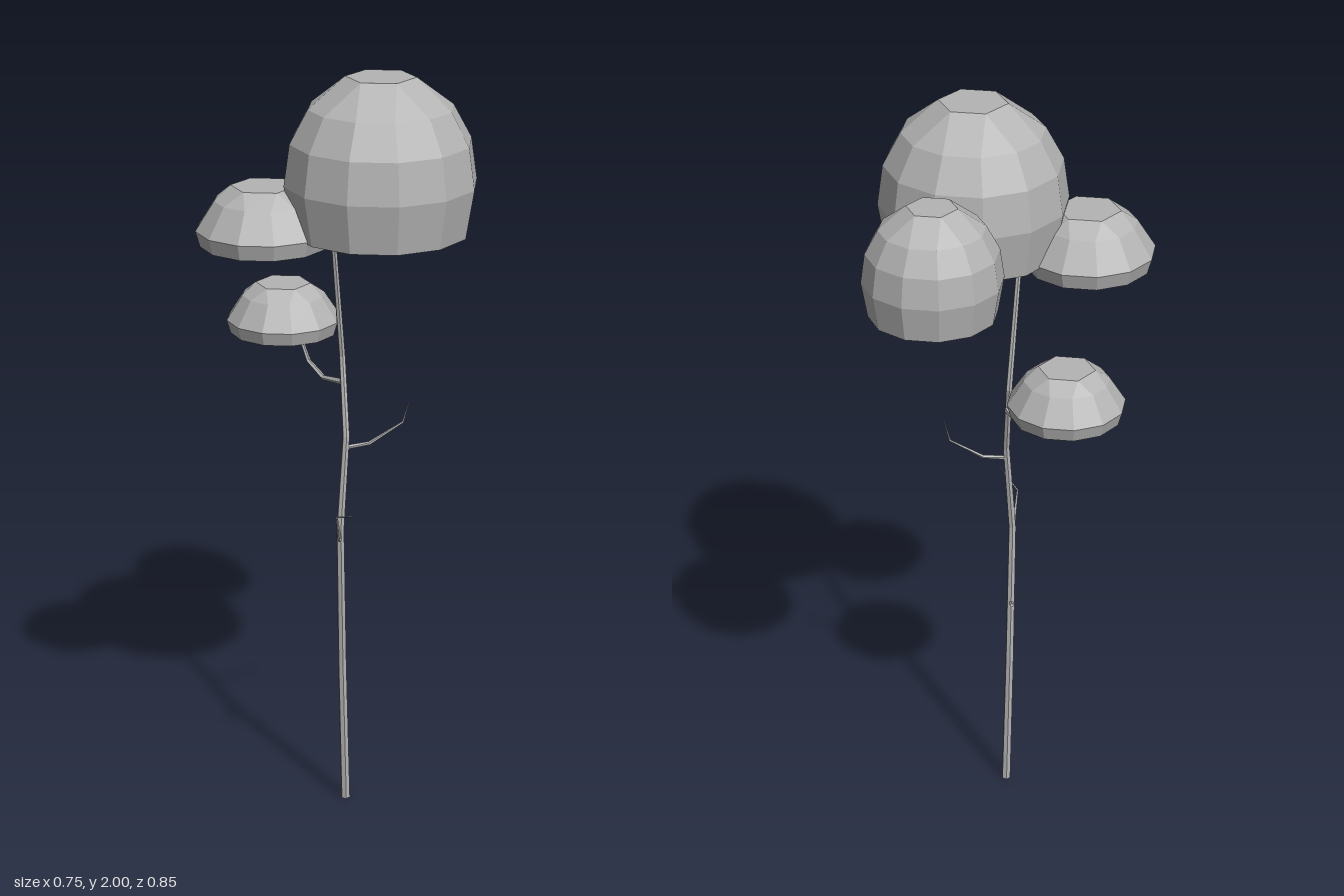
import * as THREE from 'three';

const V = (x, y, z) => new THREE.Vector3(x, y, z);

// Closed faceted solid from rings running counter-clockwise about the path
function loft(rings) {
  const pos = [];
  const tri = (a, b, c) => {
    const area = b.clone().sub(a).cross(c.clone().sub(a)).length();
    if (area > 1e-9) pos.push(...a.toArray(), ...b.toArray(), ...c.toArray());
  };
  const n = rings[0].length;
  for (let r = 0; r < rings.length - 1; r++) {
    const lo = rings[r], hi = rings[r + 1];
    for (let i = 0; i < n; i++) {
      const j = (i + 1) % n;
      tri(lo[i], lo[j], hi[j]);
      tri(lo[i], hi[j], hi[i]);
    }
  }
  const first = rings[0], last = rings[rings.length - 1];
  for (let i = 1; i < n - 1; i++) {
    tri(first[0], first[i + 1], first[i]);
    tri(last[0], last[i], last[i + 1]);
  }
  const g = new THREE.BufferGeometry();
  g.setAttribute('position', new THREE.Float32BufferAttribute(pos, 3));
  g.computeVertexNormals();
  return g;
}

// Leaf crown: twelve-sided rings, the last one merged in pairs to a hexagon
function crown(profile) {
  return loft(profile.map(([radius, y], k) => {
    const top = k === profile.length - 1;
    return Array.from({ length: 12 }, (_, i) => {
      const step = top ? Math.floor(i / 2) * 2 + 0.5 : i;
      const a = step * Math.PI / 6;
      return V(-Math.sin(a) * radius, y, -Math.cos(a) * radius);
    });
  }));
}

// Tapered, kinked limb through [x, y, z, radius] points
function limb(points, sides) {
  const p = points.map(([x, y, z]) => V(x, y, z));
  const last = p.length - 1;
  return loft(p.map((c, k) => {
    const t = V(0, 0, 0);
    if (k > 0) t.add(c.clone().sub(p[k - 1]).normalize());
    if (k < last) t.add(p[k + 1].clone().sub(c).normalize());
    t.normalize();
    const a = V(0, 0, 1).addScaledVector(t, -t.z).normalize();
    const b = t.clone().cross(a);
    return Array.from({ length: sides }, (_, i) => {
      const ang = i * 2 * Math.PI / sides, r = points[k][3];
      return c.clone().addScaledVector(a, Math.cos(ang) * r).addScaledVector(b, Math.sin(ang) * r);
    });
  }));
}

export function createModel() {
  const model = new THREE.Group();
  model.name = 'tree';
  const grey = new THREE.MeshStandardMaterial({ color: 0xb4b4b4, flatShading: true });
  grey.name = 'plain grey';

  const add = (name, geometry, position = [0, 0, 0], scale = 1) => {
    const mesh = new THREE.Mesh(geometry, grey);
    mesh.name = name;
    mesh.position.set(...position);
    mesh.scale.setScalar(scale);
    model.add(mesh);
  };

  // Tall domed crowns
  const dome = crown([[0.222, 0], [0.243, 0.125], [0.228, 0.23], [0.182, 0.315], [0.088, 0.39]]);
  add('largeCrown', dome, [0.13, 1.61, 0.035]);
  add('backCrown', dome, [-0.105, 1.597, -0.255], 0.716);

  // Flat cushion crowns
  const cushion = crown([[0.14, 0], [0.15, 0.035], [0.108, 0.1], [0.072, 0.13]]);
  add('leftCushion', cushion, [-0.227, 1.27, 0.063]);
  add('frontCushion', cushion, [-0.063, 1.575, 0.252], 1.15);

  // Bent trunk
  add('trunk', limb([
    [0.023, 0, 0.063, 0.0125], [0.025, 0.4, 0.075, 0.0115], [0.042, 0.8, 0.095, 0.0105],
    [0.04, 1.05, 0.073, 0.0095], [-0.005, 1.25, 0.048, 0.0085], [0.02, 1.615, 0.1, 0.007],
  ], 6));

  // Branches
  add('cushionBranch', limb([
    [0.008, 1.185, 0.052, 0.009], [-0.09, 1.17, 0.042, 0.007],
    [-0.15, 1.2, 0.042, 0.006], [-0.185, 1.28, 0.05, 0.005],
  ], 5));
  add('upperTwig', limb([
    [0.04, 1.02, 0.075, 0.006], [0.07, 1.027, 0.02, 0.005],
    [0.115, 1.08, -0.055, 0.003], [0.127, 1.135, -0.065, 0.001],
  ], 5));
  add('middleTwig', limb([
    [0.04, 0.78, 0.095, 0.006], [0.07, 0.782, 0.12, 0.005],
    [0.1, 0.865, 0.155, 0.003], [0.187, 0.895, 0.16, 0.001],
  ], 5));
  add('stub', limb([[0.025, 0.572, 0.08, 0.006], [-0.005, 0.587, 0.06, 0.005]], 5));

  return model;
}
